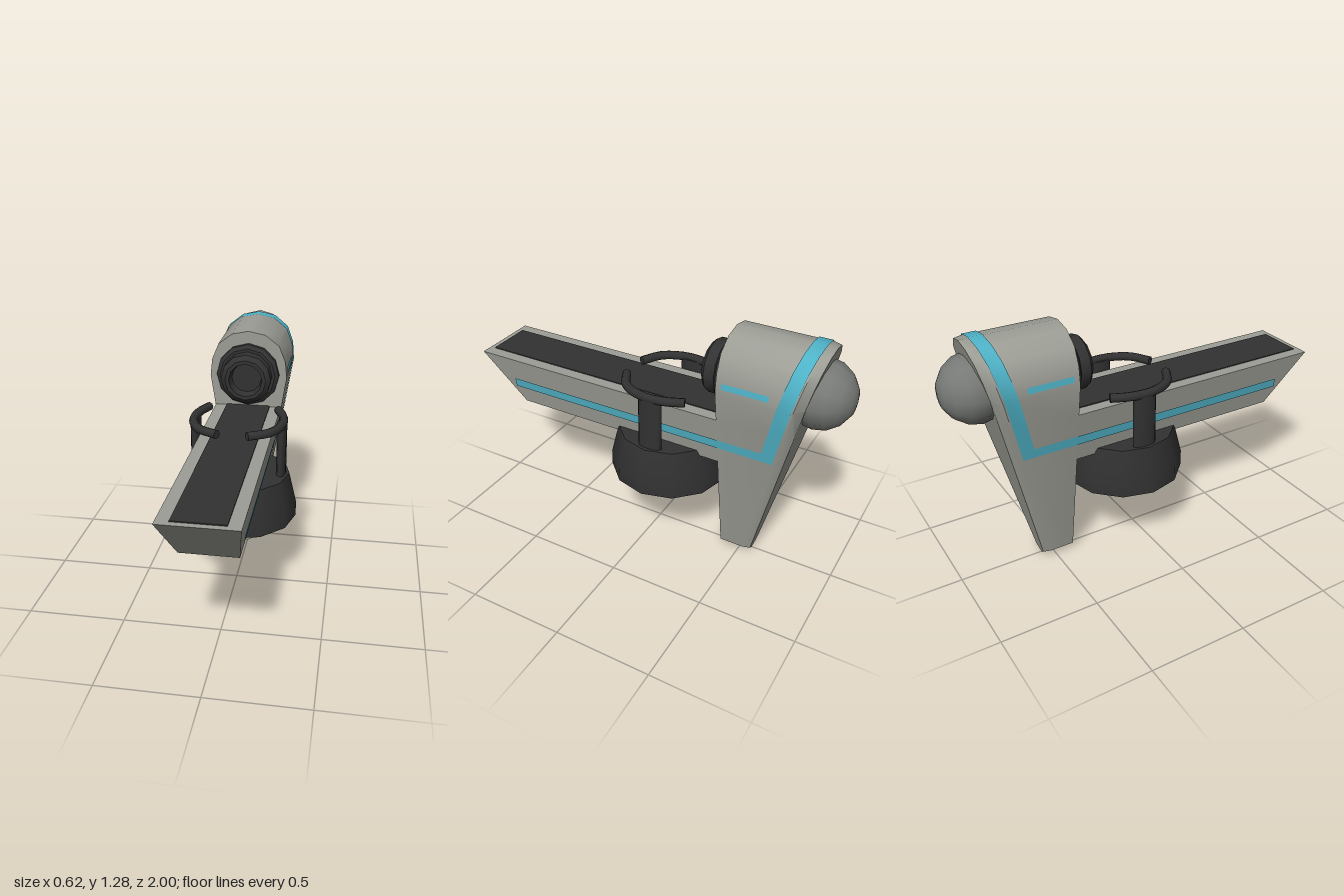
import * as THREE from 'three';
import { toCreasedNormals } from 'three/addons/utils/BufferGeometryUtils.js';

const mat = (name, color, side = THREE.FrontSide) => {
  const m = new THREE.MeshStandardMaterial({ color, side });
  m.name = name;
  return m;
};

// Right half of the fin outline, bottom to top
const FIN = [[0, 0], [0.055, 0.03], [0.142, 0.59], [0.184, 0.86], [0.21, 1.03],
  [0.2, 1.12], [0.165, 1.205], [0.09, 1.262], [0, 1.28]];
// Right half of the beam section
const BEAM = [[0, 0.595], [0.139, 0.595], [0.181, 0.86], [0, 0.86]];

const finBack = (y) => -0.56 - 0.25 * y;

// Half width of the fin at a given height
function finWidth(y) {
  const i = FIN.findIndex((p) => p[1] >= y);
  const [a, b] = [FIN[i - 1], FIN[i]];
  return a[0] + (b[0] - a[0]) * (y - a[1]) / (b[1] - a[1]);
}

// Closed outline from its right half, counterclockwise from the front
const mirrorOutline = (half) =>
  [...half, ...half.slice(1, -1).reverse().map(([x, y]) => [-x, y])];

// Solid through several copies of an outline; each section gives an x scale and z(y)
function loft(half, sections) {
  const ring = mirrorOutline(half), n = ring.length, pos = [], idx = [];
  for (const { sx, z } of sections) for (const [x, y] of ring) pos.push(x * sx, y, z(y));
  for (let k = 0; k < sections.length - 1; k++) {
    for (let i = 0; i < n; i++) {
      const a = k * n + i, b = k * n + (i + 1) % n;
      idx.push(a, a + n, b, b, a + n, b + n);
    }
  }
  const last = (sections.length - 1) * n;
  for (let i = 1; i < n - 1; i++) {
    idx.push(0, i, i + 1, last, last + i + 1, last + i);
  }
  const g = new THREE.BufferGeometry();
  g.setAttribute('position', new THREE.Float32BufferAttribute(pos, 3));
  g.setIndex(idx);
  return toCreasedNormals(g, 0.75);
}

// Thin painted band following a path of [x, y], between two z(y) edges
function band(path, zFront, zBack) {
  const pos = [], idx = [];
  path.forEach(([x, y], i) => {
    pos.push(x, y, zFront(y), x, y, zBack(y));
    if (i) idx.push(2 * i - 2, 2 * i - 1, 2 * i, 2 * i, 2 * i - 1, 2 * i + 1);
  });
  const g = new THREE.BufferGeometry();
  g.setAttribute('position', new THREE.Float32BufferAttribute(pos, 3));
  g.setIndex(idx);
  g.computeVertexNormals();
  return g;
}

const lathe = (pts, sides) => toCreasedNormals(
  new THREE.LatheGeometry(pts.map(([r, y]) => new THREE.Vector2(r, y)), sides), 0.6);

export function createModel() {
  const group = new THREE.Group();
  const hull = mat('hull grey', 0x9c9d95);
  const domeGrey = mat('dome grey', 0x777a76);
  const dark = mat('dark trim', 0x323232);
  const blue = mat('stripe blue', 0x4fb3c8, THREE.DoubleSide);
  const add = (name, geometry, material, x = 0, y = 0, z = 0) => {
    const m = new THREE.Mesh(geometry, material);
    m.name = name;
    m.position.set(x, y, z);
    group.add(m);
    return m;
  };

  // Upright fin with a softened rear edge
  add('fin', loft(FIN, [
    { sx: 1, z: () => -0.4 },
    { sx: 1, z: (y) => finBack(y) + 0.04 },
    { sx: 0.8, z: finBack },
  ]), hull);

  // Long beam with a raked nose
  add('beam', loft(BEAM, [
    { sx: 1, z: (y) => 0.77 + (y - 0.595) * 0.868 },
    { sx: 1, z: () => -0.43 },
  ]), hull);
  add('deckPad', new THREE.BoxGeometry(0.24, 0.008, 1.37), dark, 0, 0.861, 0.285);

  // Round pod under the beam
  add('pod', lathe([[0, 0.38], [0.31, 0.38], [0.31, 0.46], [0.27, 0.625], [0, 0.625]], 12),
    dark, 0, 0, -0.06);

  // Nozzle with a recessed mouth on the front of the fin
  add('nozzle', lathe([[0.17, -0.42], [0.17, -0.375], [0.15, -0.36], [0.135, -0.36],
    [0.135, -0.3], [0.11, -0.278], [0.09, -0.278], [0.08, -0.33], [0, -0.33]], 12)
    .rotateX(Math.PI / 2), dark, 0, 1.045, 0);

  // Dome on the back of the fin
  add('rearDome', new THREE.SphereGeometry(0.17, 12, 8).rotateX(Math.PI / 2),
    domeGrey, 0, 1.04, -0.83);

  // Stripe over the fin, from one beam stripe to the other
  const arch = [[finWidth(0.69), 0.69], ...FIN.slice(3)].map(([x, y]) =>
    [x + (x > 0 ? 0.004 : 0), y > 1.1 ? y + 0.004 : y]);
  const fullArch = [...arch, ...arch.slice(0, -1).reverse().map(([x, y]) => [-x, y])];
  add('finStripe', band(fullArch, (y) => finBack(y) + 0.115, (y) => finBack(y) + 0.047), blue);

  for (const s of [1, -1]) {
    const side = s > 0 ? 'left' : 'right';
    const sidePath = (y0, y1) => [y0, y1].map((y) => [s * (finWidth(y) + 0.004), y]);
    add(side + 'BeamStripe', band(sidePath(0.69, 0.74), () => 0.81, () => -0.63), blue);
    add(side + 'FinDash', band(sidePath(1.05, 1.08), () => -0.43, () => -0.66), blue);

    // Flattened post and curved grip
    add(side + 'Post', toCreasedNormals(new THREE.CylinderGeometry(0.065, 0.065, 0.3, 10), 0.7)
      .scale(0.4, 1, 1), dark, s * 0.225, 0.755, -0.065);
    const path = new THREE.CatmullRomCurve3([[0.185, -0.235], [0.222, -0.14], [0.228, -0.02],
      [0.18, 0.09], [0.075, 0.155]].map(([x, z]) => new THREE.Vector3(s * x, 0.907, z)));
    add(side + 'Grip', new THREE.TubeGeometry(path, 12, 0.023, 8), dark);
    for (const t of [0, 1]) {
      const cap = add(side + 'GripEnd', new THREE.CircleGeometry(0.023, 8), dark);
      cap.position.copy(path.getPoint(t));
      cap.lookAt(cap.position.clone().addScaledVector(path.getTangent(t), t ? 1 : -1));
    }
  }
  return group;
}
